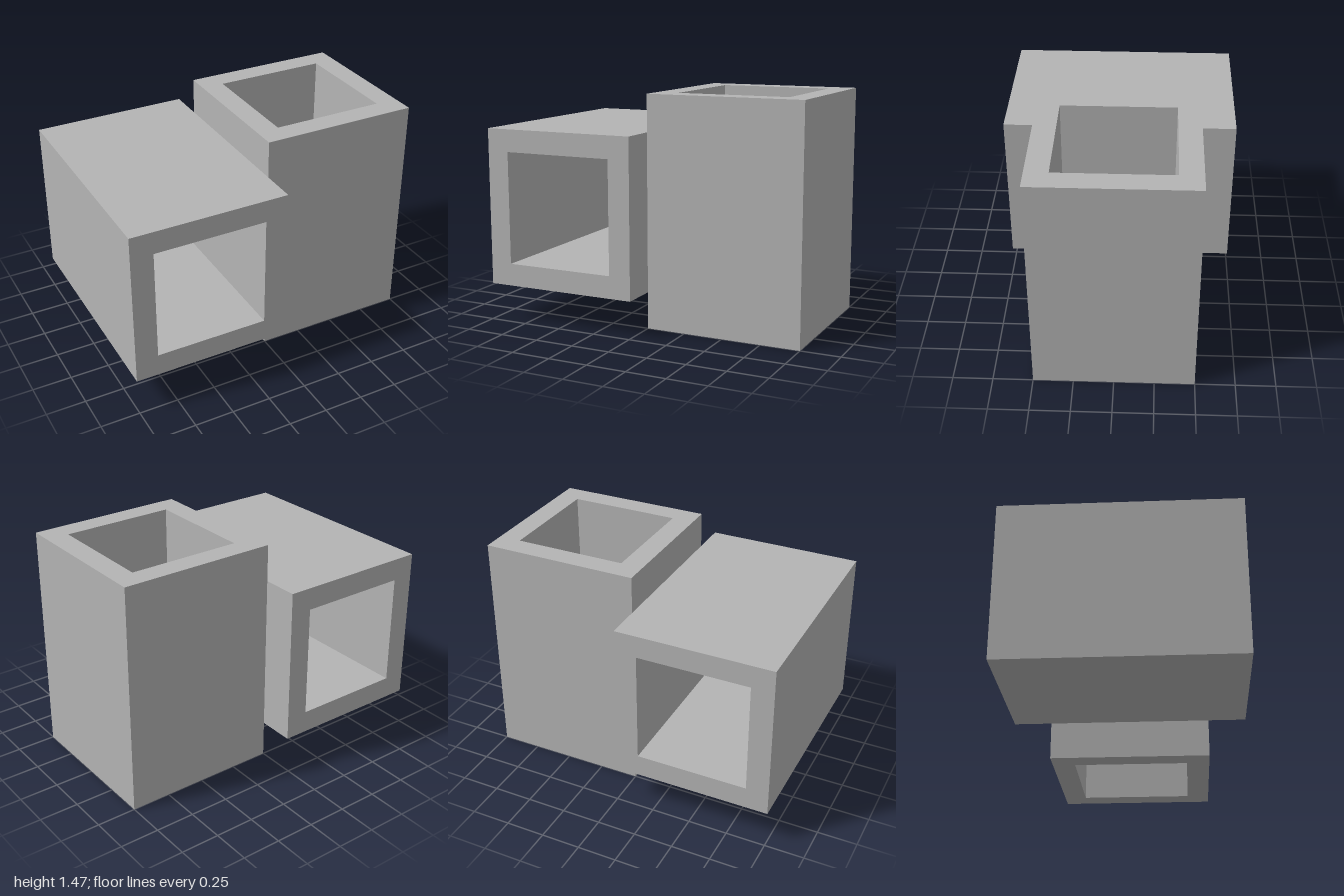
import * as THREE from 'three';

const SIDE = 1, HOLE = 0.715, LENGTH = 1.466;

// Counter-clockwise or clockwise square outline centred on the origin
function squarePoints(size) {
  const h = size / 2;
  return [[-h, -h], [h, -h], [h, h], [-h, h]].map(([x, y]) => new THREE.Vector2(x, y));
}

// Square tube open at both ends, centred, running along z
function tubeGeometry() {
  const shape = new THREE.Shape(squarePoints(SIDE));
  shape.holes.push(new THREE.Path(squarePoints(HOLE).reverse()));
  const geometry = new THREE.ExtrudeGeometry(shape, { depth: LENGTH, bevelEnabled: false });
  return geometry.translate(0, 0, -LENGTH / 2);
}

export function createModel() {
  const model = new THREE.Group();
  model.name = 'squareTubes';

  const grey = new THREE.MeshStandardMaterial({ color: 0xb4b4b4 });
  grey.name = 'grey';

  // Tube lying front to back
  const lyingTube = new THREE.Mesh(tubeGeometry(), grey);
  lyingTube.name = 'lyingTube';
  lyingTube.position.set(-SIDE / 2, LENGTH / 2, 0);

  // Tube standing upright beside it
  const uprightTube = new THREE.Mesh(tubeGeometry().rotateX(-Math.PI / 2), grey);
  uprightTube.name = 'uprightTube';
  uprightTube.position.set(SIDE / 2, LENGTH / 2, 0);

  model.add(lyingTube, uprightTube);
  return model;
}
